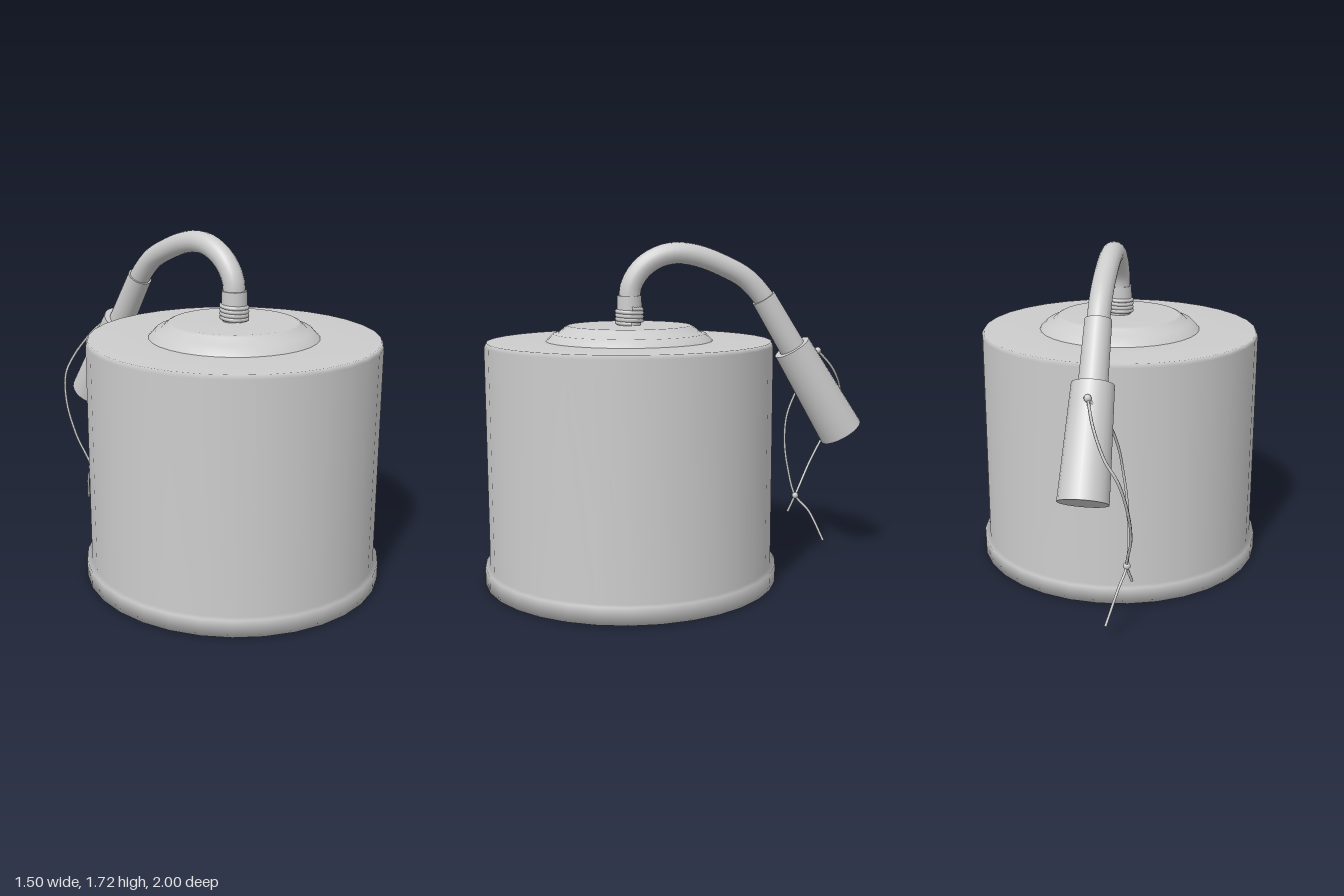
import * as THREE from 'three';

const material = new THREE.MeshStandardMaterial({ color: 0xcccccc, side: THREE.DoubleSide });
const CENTRE_Z = 0.25; // axis of the drum and neck

function add(group, name, geometry) {
  const mesh = new THREE.Mesh(geometry, material);
  mesh.name = name;
  group.add(mesh);
  return mesh;
}

function lathe(profile, sides) {
  return new THREE.LatheGeometry(profile.map(([r, y]) => new THREE.Vector2(r, y)), sides);
}

function tube(points, radius, steps, sides) {
  const curve = new THREE.CatmullRomCurve3(points.map((p) => new THREE.Vector3(...p)));
  return new THREE.TubeGeometry(curve, steps, radius, sides);
}

// Closed, tapered cylinder between two points
function rod(from, to, radiusFrom, radiusTo, sides) {
  const a = new THREE.Vector3(...from), b = new THREE.Vector3(...to);
  const dir = b.clone().sub(a);
  const geometry = new THREE.CylinderGeometry(radiusTo, radiusFrom, dir.length(), sides);
  geometry.applyQuaternion(
    new THREE.Quaternion().setFromUnitVectors(new THREE.Vector3(0, 1, 0), dir.normalize()));
  const mid = a.add(b).multiplyScalar(0.5);
  return geometry.translate(mid.x, mid.y, mid.z);
}

export function createModel() {
  const model = new THREE.Group();

  // Drum with a wider foot rim and a closed base
  add(model, 'drum', lathe([
    [0, 0], [0.75, 0], [0.75, 0.085], [0.725, 0.09],
    [0.725, 1.205], [0.715, 1.225], [0.42, 1.225],
  ], 32)).position.z = CENTRE_Z;

  // Stepped cap on top of the drum
  add(model, 'cap', lathe([
    [0.42, 1.225], [0.385, 1.262], [0.36, 1.265], [0.325, 1.295], [0.31, 1.302], [0, 1.302],
  ], 32)).position.z = CENTRE_Z;

  // Threaded neck and collar
  add(model, 'neck', rod([0, 1.29, CENTRE_Z], [0, 1.4, CENTRE_Z], 0.058, 0.058, 20));
  const thread = [];
  for (let i = 0; i <= 48; i++) {
    const a = (i / 12) * Math.PI * 2;
    thread.push([Math.cos(a) * 0.063, 1.31 + (i / 48) * 0.075, CENTRE_Z + Math.sin(a) * 0.063]);
  }
  add(model, 'thread', tube(thread, 0.011, 96, 6));
  add(model, 'collar', rod([0, 1.375, CENTRE_Z], [0, 1.45, CENTRE_Z], 0.064, 0.062, 20));

  // Bent pipe
  add(model, 'bentPipe', tube([
    [0, 1.42, 0.25], [0, 1.5, 0.24], [0, 1.585, 0.185], [0, 1.64, 0.1], [0, 1.66, 0.01],
    [0, 1.647, -0.1], [0, 1.6, -0.23], [0, 1.53, -0.36], [0, 1.43, -0.455], [0, 1.36, -0.5],
  ], 0.055, 28, 16));

  // Sleeve and tapered grip
  add(model, 'sleeve', rod([0, 1.43, -0.455], [0, 1.13, -0.64], 0.064, 0.07, 20));
  add(model, 'grip', rod([0, 1.17, -0.615], [0, 0.71, -0.9], 0.1, 0.118, 24));

  // Tied string: both strands leave the upper knot and cross at the lower knot
  const upperKnot = [0, 1.15, -0.76], lowerKnot = [-0.17, 0.325, -0.71];
  add(model, 'stringOuter', tube([
    upperKnot, [-0.04, 1.05, -0.86], [-0.1, 0.93, -0.93], [-0.16, 0.83, -0.935],
    [-0.195, 0.68, -0.89], [-0.2, 0.5, -0.8], lowerKnot, [-0.19, 0.23, -0.675],
  ], 0.007, 60, 6));
  add(model, 'stringInner', tube([
    upperKnot, [-0.085, 1.04, -0.74], [-0.125, 0.9, -0.68], [-0.14, 0.78, -0.642],
    [-0.16, 0.63, -0.64], [-0.17, 0.48, -0.665], lowerKnot,
    [-0.14, 0.24, -0.78], [-0.09, 0.08, -0.85],
  ], 0.007, 60, 6));
  for (const [name, p] of [['upperKnot', upperKnot], ['lowerKnot', lowerKnot]]) {
    add(model, name, new THREE.SphereGeometry(0.018, 10, 8)).position.set(...p);
  }

  return model;
}
